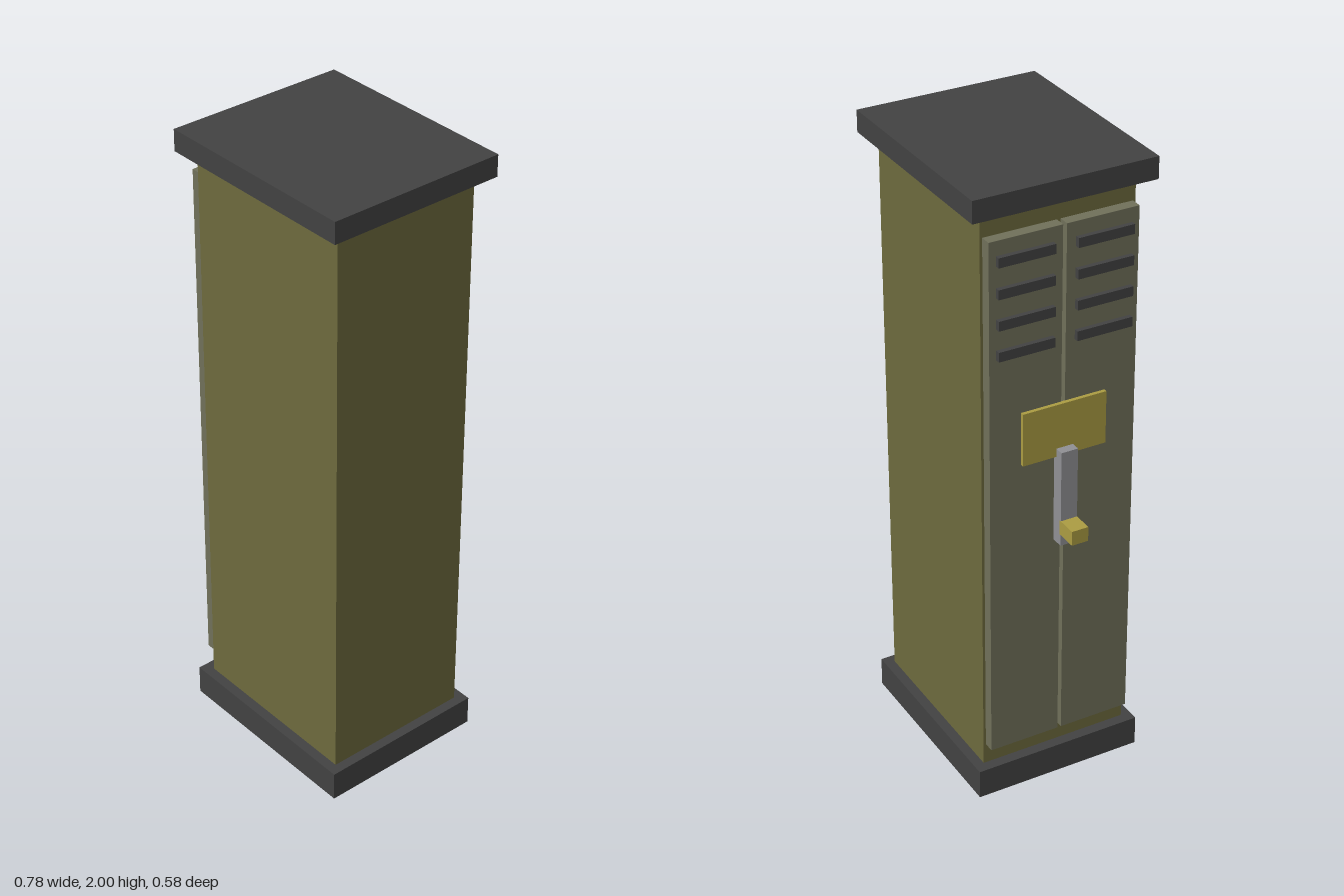
import * as THREE from 'three';

const mat = (color) => new THREE.MeshStandardMaterial({ color, flatShading: true });

export function createModel() {
  const group = new THREE.Group();
  const dark = mat(0x424242), olive = mat(0x6d6a3d), doorPaint = mat(0x70705a);
  const steel = mat(0x909094), yellow = mat(0xab9c42);

  // Box given by its extents on each axis
  const box = (name, material, [x0, x1], [y0, y1], [z0, z1]) => {
    const mesh = new THREE.Mesh(new THREE.BoxGeometry(x1 - x0, y1 - y0, z1 - z0), material);
    mesh.position.set((x0 + x1) / 2, (y0 + y1) / 2, (z0 + z1) / 2);
    mesh.name = name;
    group.add(mesh);
  };

  // Cabinet shell
  box('base', dark, [-0.284, 0.376], [0, 0.096], [-0.275, 0.275]);
  box('body', olive, [-0.25, 0.345], [0.096, 1.932], [-0.243, 0.243]);
  box('cap', dark, [-0.294, 0.387], [1.932, 2], [-0.288, 0.288]);

  // Pair of doors with four louvers each, mirrored across z
  for (const s of [-1, 1]) {
    const span = (a, b) => (s > 0 ? [a, b] : [-b, -a]);
    const side = s > 0 ? 'front' : 'back';
    box(side + 'Door', doorPaint, [-0.285, -0.25], [0.165, 1.862], span(0.006, 0.235));
    for (let i = 0; i < 4; i++) {
      const y = 1.802 - i * 0.0955;
      box(side + 'Louver' + (i + 1), dark, [-0.3, -0.28], [y - 0.015, y + 0.015], span(0.035, 0.213));
    }
  }

  // Sign plate, latch bar and handle
  box('signPlate', yellow, [-0.297, -0.284], [1.143, 1.312], [-0.135, 0.135]);
  box('latchBar', steel, [-0.326, -0.28], [0.858, 1.17], [-0.027, 0.027]);
  box('latchHandle', yellow, [-0.39, -0.32], [0.895, 0.942], [-0.027, 0.027]);

  return group;
}
